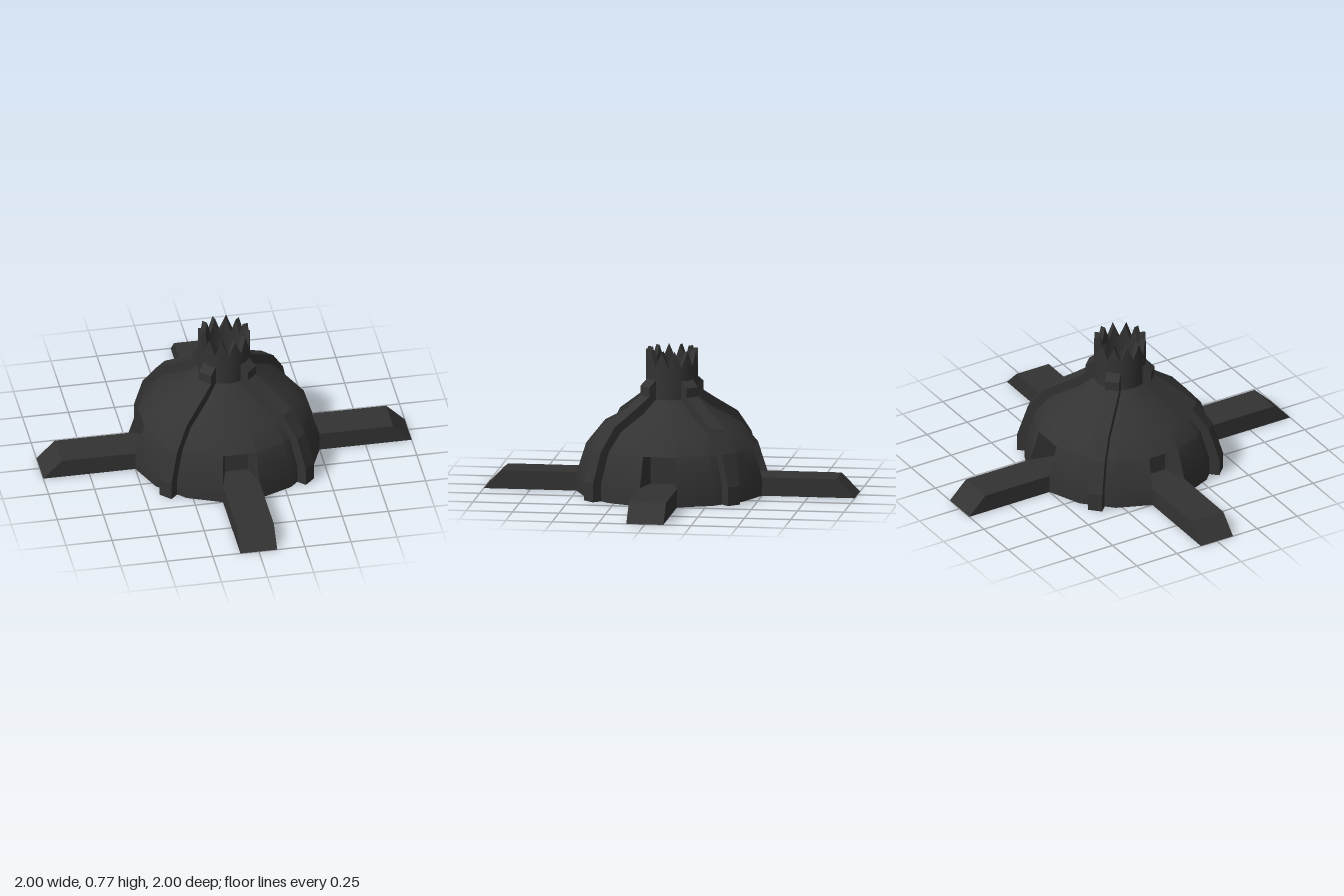
import * as THREE from 'three';
import { mergeGeometries, mergeVertices, toCreasedNormals } from 'three/addons/utils/BufferGeometryUtils.js';

const SIDES = 16, STEP = Math.PI * 2 / SIDES;
const material = new THREE.MeshStandardMaterial({ color: 0x333333, side: THREE.DoubleSide });

function addMesh(parent, name, geometry) {
  const mesh = new THREE.Mesh(geometry, material);
  mesh.name = name;
  parent.add(mesh);
  return mesh;
}

// Flat-shaded panels, each a convex loop of [x, y, z] corners
function panels(loops) {
  const pos = [];
  for (const p of loops)
    for (let i = 1; i < p.length - 1; i++) pos.push(...p[0], ...p[i], ...p[i + 1]);
  const g = new THREE.BufferGeometry();
  g.setAttribute('position', new THREE.Float32BufferAttribute(pos, 3));
  g.computeVertexNormals();
  return g;
}

const mirror = loop => loop.map(([x, y, z]) => [-x, y, z]).reverse();

// Thin sixteen-sided dome; the four facets on the axes stay open below the niche tops
function domeGeometry() {
  const profile = [[0.51, 0], [0.51, 0.1], [0.459, 0.26], [0.377, 0.36], [0.22, 0.445], [0.138, 0.515]]
    .map(p => new THREE.Vector2(...p));
  const facets = [];
  for (let i = 0; i < SIDES; i++) {
    const pts = i % 4 === 0 ? profile.slice(2) : profile;
    const g = new THREE.LatheGeometry(pts, 1, (i - 0.5) * STEP, STEP);
    g.deleteAttribute('uv');
    g.deleteAttribute('normal');
    facets.push(g);
  }
  return toCreasedNormals(mergeVertices(mergeGeometries(facets), 1e-4), 0.5);
}

// Hollow leg with a sloped tip, running along +z
function legGeometry() {
  const w = 0.1, side = [[w, 0, 0.5], [w, 0, 1], [w, 0.1, 0.9], [w, 0.1, 0.5]];
  return panels([
    side, mirror(side),
    [[-w, 0.1, 0.5], [w, 0.1, 0.5], [w, 0.1, 0.9], [-w, 0.1, 0.9]].reverse(),
    [[-w, 0.1, 0.5], [-0.062, 0.1, 0.36], [0.062, 0.1, 0.36], [w, 0.1, 0.5]].reverse(),
    [[-w, 0, 1], [w, 0, 1], [w, 0.1, 0.9], [-w, 0.1, 0.9]],
  ]);
}

// Tapered pocket in the dome wall behind each leg
function nicheGeometry() {
  const b = 0.062, z = 0.36, h = 0.26;
  const side = [[0.1, 0, 0.5], [0.1, 0.1, 0.5], [0.09, h, 0.45], [b, h, z], [b, 0, z]];
  return panels([
    side, mirror(side),
    [[-b, 0, z], [b, 0, z], [b, h, z], [-b, h, z]],
    [[-0.09, h, 0.45], [-b, h, z], [b, h, z], [0.09, h, 0.45]],
  ]);
}

// Rib following the dome from ground to collar
function ribGeometry() {
  const outline = [
    [0.555, 0], [0.555, 0.1], [0.5, 0.27], [0.41, 0.39], [0.25, 0.485], [0.18, 0.53], [0.18, 0.58], [0.13, 0.62],
    [0.122, 0.51], [0.2, 0.44], [0.36, 0.35], [0.44, 0.26], [0.49, 0.1], [0.49, 0],
  ].map(p => new THREE.Vector2(...p));
  const g = new THREE.ExtrudeGeometry(new THREE.Shape(outline), { depth: 0.078, bevelEnabled: false });
  return g.translate(0, 0, -0.039);
}

// Tube wall with a zigzag rim
function crownGeometry() {
  const teeth = 12, n = teeth * 2, outer = 0.14, inner = 0.11, base = 0.51;
  const at = (r, i, y) => {
    const a = (i + 1) * Math.PI * 2 / n;
    return [r * Math.sin(a), y, r * Math.cos(a)];
  };
  const top = i => i % 2 ? 0.685 : 0.77;
  const loops = [];
  for (let i = 0; i < n; i++) {
    const j = i + 1, a = top(i), b = top(j);
    loops.push([at(outer, i, base), at(outer, j, base), at(outer, j, b), at(outer, i, a)]);
    loops.push([at(inner, j, base), at(inner, i, base), at(inner, i, a), at(inner, j, b)]);
    loops.push([at(outer, i, a), at(outer, j, b), at(inner, j, b), at(inner, i, a)]);
  }
  return toCreasedNormals(panels(loops), 0.5);
}

export function createModel() {
  const model = new THREE.Group();
  model.name = 'spikedDome';

  addMesh(model, 'dome', domeGeometry());
  addMesh(model, 'crown', crownGeometry());

  // Floor closing the crown
  const floor = new THREE.CircleGeometry(0.14, 24).rotateX(-Math.PI / 2);
  addMesh(model, 'crownFloor', floor).position.y = 0.513;

  const leg = legGeometry(), niche = nicheGeometry(), rib = ribGeometry();
  for (let i = 0; i < 4; i++) {
    const turn = i * Math.PI / 2;
    addMesh(model, 'leg', leg).rotation.y = turn;
    addMesh(model, 'niche', niche).rotation.y = turn;
    addMesh(model, 'rib', rib).rotation.y = turn + Math.PI / 4;
  }
  return model;
}
